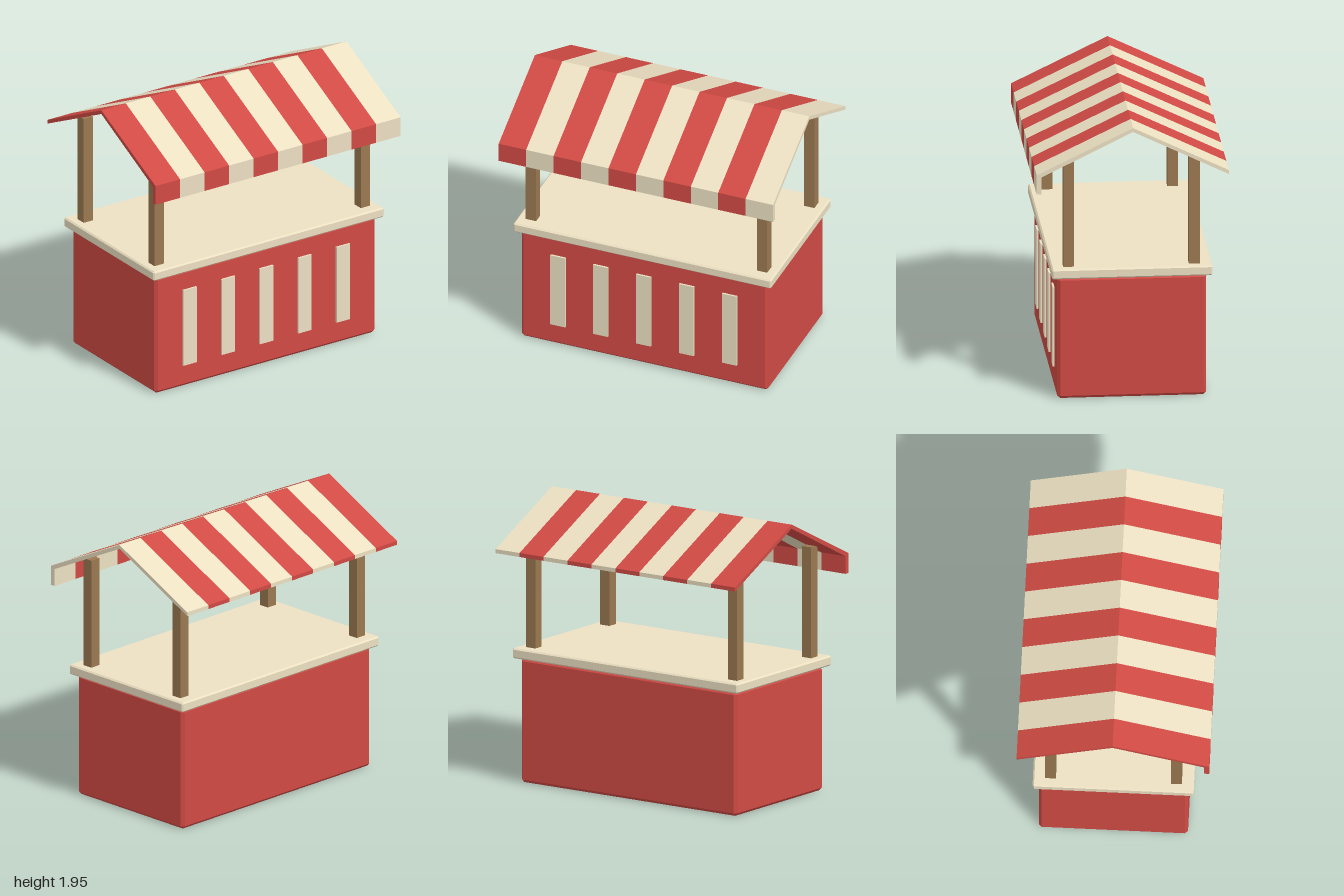
import * as THREE from 'three';
import { ConvexGeometry } from 'three/addons/geometries/ConvexGeometry.js';

const mat = (color) => new THREE.MeshStandardMaterial({ color, flatShading: true });

// Box with every edge and corner chamfered by b
function chamferBox(w, h, d, b) {
  const points = [];
  for (const x of [-1, 1]) for (const y of [-1, 1]) for (const z of [-1, 1]) {
    for (let axis = 0; axis < 3; axis++) {
      const inset = [b, b, b];
      inset[axis] = 0;
      points.push(new THREE.Vector3(x * (w / 2 - inset[0]), y * (h / 2 - inset[1]), z * (d / 2 - inset[2])));
    }
  }
  return new ConvexGeometry(points);
}

export function createModel() {
  const group = new THREE.Group();
  const red = mat(0xd04a44);
  const cream = mat(0xece0c2);
  const wood = mat(0x9a7850);

  function add(name, geometry, material, x, y, z) {
    const mesh = new THREE.Mesh(geometry, material);
    mesh.name = name;
    mesh.position.set(x, y, z);
    group.add(mesh);
  }

  // Stall body and counter
  add('body', chamferBox(1.8, 0.86, 1.01, 0.02), red, 0, 0.43, 0);
  add('counter', chamferBox(1.88, 0.07, 1.09, 0.01), cream, 0, 0.896, 0);

  // Upright panels on the front
  const panel = new THREE.BoxGeometry(0.108, 0.56, 0.03);
  for (let i = 0; i < 5; i++) add('frontPanel', panel, cream, (i - 2) * 0.3125, 0.44, 0.503);

  // Corner posts
  const post = new THREE.BoxGeometry(0.076, 0.78, 0.074);
  for (const x of [-0.842, 0.842]) for (const z of [-0.426, 0.426]) add('post', post, wood, x, 1.31, z);

  // Gabled awning with a front valance: one profile repeated as coloured stripes
  const profile = new THREE.Shape([
    [-0.65, 1.6], [-0.65, 1.628], [0, 1.945], [0.654, 1.628], [0.654, 1.49],
    [0.62, 1.49], [0.62, 1.612], [0, 1.917],
  ].reverse().map(([z, y]) => new THREE.Vector2(z, y)));
  const stripe = new THREE.ExtrudeGeometry(profile, { depth: 0.2, bevelEnabled: false });
  stripe.translate(0, 0, -0.1);
  stripe.rotateY(-Math.PI / 2);
  for (let i = 0; i < 10; i++) add('awningStripe', stripe, i % 2 ? cream : red, -0.9 + i * 0.2, 0, 0);

  return group;
}
